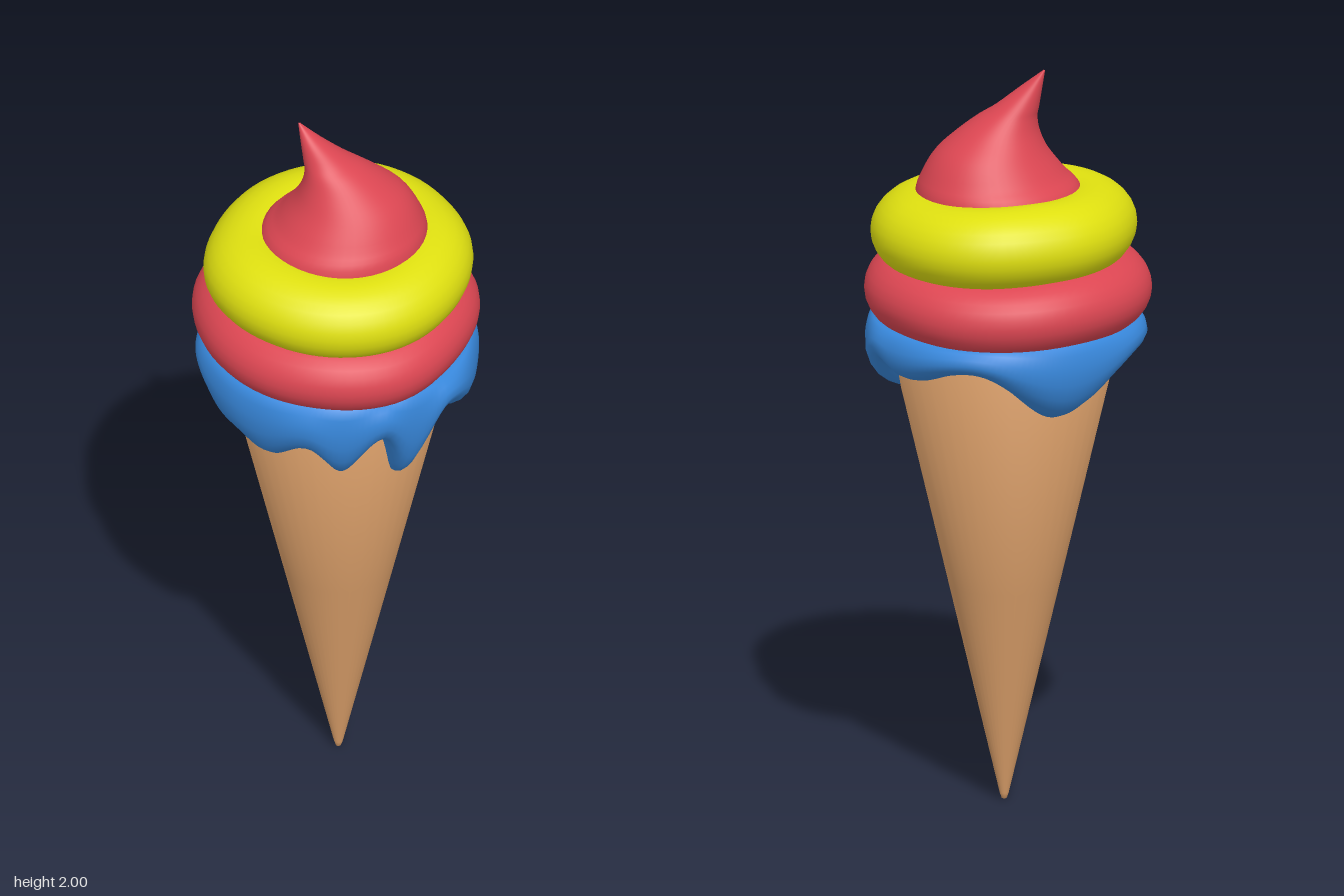
import * as THREE from 'three';

const mat = (name, color) => {
  const m = new THREE.MeshStandardMaterial({ color });
  m.name = name;
  return m;
};

// Smooth periodic lookup in a table of [degrees, value]
function around(table, theta) {
  const a = (THREE.MathUtils.radToDeg(theta) % 360 + 360) % 360;
  for (let i = 0; i < table.length; i++) {
    const [a0, v0] = table[i];
    const [a1, v1] = i + 1 < table.length ? table[i + 1] : [360, table[0][1]];
    if (a >= a0 && a <= a1) {
      const t = (a - a0) / (a1 - a0);
      return v0 + (v1 - v0) * (1 - Math.cos(Math.PI * t)) / 2;
    }
  }
  return table[0][1];
}

// Surface of horizontal rings; point(row, theta) returns [x, y, z], rows run downwards outside
function loft(rows, cols, point, closed = false) {
  const pos = [], idx = [];
  for (let i = 0; i < rows; i++)
    for (let j = 0; j < cols; j++) pos.push(...point(i, j / cols * Math.PI * 2));
  for (let i = 0; i < (closed ? rows : rows - 1); i++)
    for (let j = 0; j < cols; j++) {
      const n = (i + 1) % rows, k = (j + 1) % cols;
      const a = i * cols + j, b = n * cols + j, c = n * cols + k, d = i * cols + k;
      idx.push(a, b, d, b, c, d);
    }
  const g = new THREE.BufferGeometry();
  g.setAttribute('position', new THREE.Float32BufferAttribute(pos, 3));
  g.setIndex(idx);
  g.computeVertexNormals();
  return g;
}

// Uneven soft ring with outer radius and height following tables
function scoop(outer, middle, w, h) {
  const rows = 28;
  return loft(rows, 72, (i, t) => {
    const phi = i / rows * Math.PI * 2;
    const r = around(outer, t) - w + w * Math.sin(phi);
    return [r * Math.sin(t), around(middle, t) + h * Math.cos(phi), r * Math.cos(t)];
  }, true);
}

const coneRadius = y => 0.008 + 0.232 * y;

export function createModel() {
  const group = new THREE.Group();
  const wafer = mat('wafer', 0xdca06a);
  const blue = mat('blue icing', 0x3888dc);
  const red = mat('red cream', 0xdc4652);
  const yellow = mat('yellow cream', 0xdfe010);
  const add = (name, geo, material) => {
    const mesh = new THREE.Mesh(geo, material);
    mesh.name = name;
    group.add(mesh);
  };

  // Wafer cone with a small rounded tip
  const profile = [[0, 0], [0.007, 0.003], [0.012, 0.018], [coneRadius(0.6), 0.6],
    [coneRadius(1.36), 1.36], [0, 1.36]].map(p => new THREE.Vector2(...p));
  add('cone', new THREE.LatheGeometry(profile, 40), wafer);

  // Blue icing dripping down the cone, lower edge by angle from the front
  const edge = [[0, 1.205], [15, 1.04], [32, 1.245], [62, 1.14], [84, 1.235], [97, 1.205],
    [135, 1.255], [180, 1.12], [225, 1.245], [250, 1.24], [285, 1.14], [302, 1.11],
    [325, 1.17], [341, 1.085]];
  const section = [[-0.1, -0.02], [0, 0.028], [0.12, 0.046], [0.3, 0.06], [0.5, 0.068],
    [0.7, 0.064], [0.85, 0.05], [0.95, 0.028], [1, 0.005], [1, -0.015]];
  add('drippingIcing', loft(section.length, 144, (i, t) => {
    const [s, thick] = section[i];
    const y = 1.335 - (1.335 - around(edge, t)) * s;
    const r = coneRadius(y) + thick;
    return [r * Math.sin(t), y, r * Math.cos(t)];
  }), blue);

  // Lower and upper cream rings
  add('lowerRing', scoop(
    [[0, 0.38], [45, 0.363], [90, 0.376], [135, 0.385], [180, 0.385], [225, 0.39], [270, 0.378], [315, 0.376]],
    [[0, 1.40], [50, 1.415], [90, 1.41], [140, 1.4], [200, 1.41], [270, 1.415], [320, 1.405]],
    0.12, 0.1), red);
  add('upperRing', scoop(
    [[0, 0.355], [45, 0.348], [90, 0.357], [135, 0.365], [180, 0.348], [225, 0.342], [270, 0.36], [315, 0.355]],
    [[0, 1.558], [90, 1.57], [160, 1.582], [270, 1.572]],
    0.125, 0.108), yellow);

  // Peaked swirl leaning back to one side: [y, centre x, centre z, half width x, half width z]
  const rings = [[2, -0.09, -0.055, 0.002, 0.002], [1.95, -0.062, -0.032, 0.03, 0.03],
    [1.9, -0.03, -0.014, 0.06, 0.055], [1.87, -0.008, 0, 0.082, 0.075], [1.83, 0.014, 0.01, 0.113, 0.102],
    [1.78, 0.03, 0.015, 0.152, 0.138], [1.72, 0.025, 0.014, 0.192, 0.177],
    [1.66, 0.012, 0.007, 0.223, 0.213], [1.5, 0.01, 0.005, 0.23, 0.225]];
  const curve = k => new THREE.SplineCurve(rings.map(r => new THREE.Vector2(r[0], r[k])));
  const curves = [1, 2, 3, 4].map(curve);
  const rows = 33;
  add('swirlTip', loft(rows, 48, (i, t) => {
    const [cx, cz, rx, rz] = curves.map(c => c.getPoint(i / (rows - 1)));
    return [cx.y + rx.y * Math.sin(t), cx.x, cz.y + rz.y * Math.cos(t)];
  }), red);

  return group;
}
